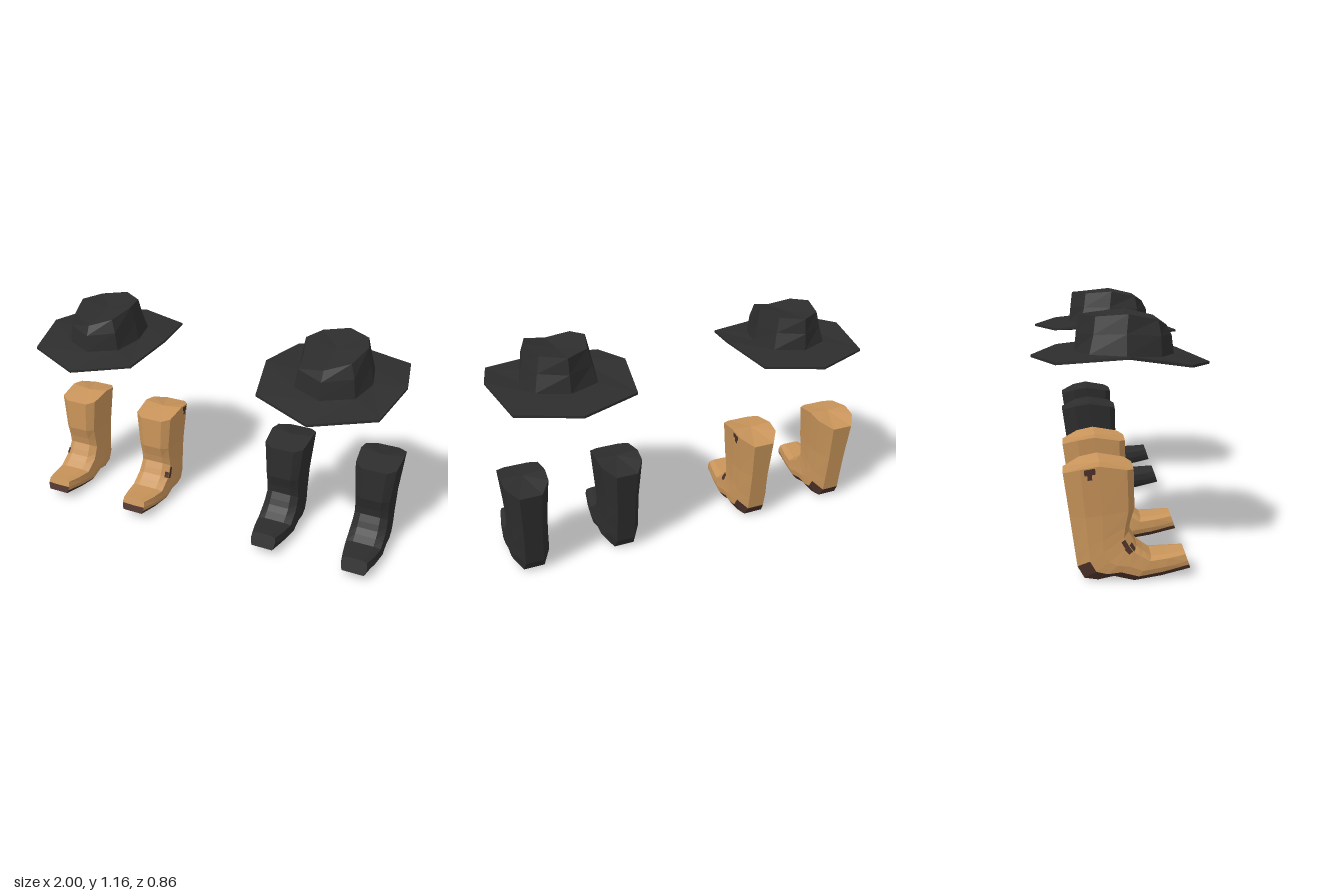
import * as THREE from 'three';

const V = (x, y, z) => new THREE.Vector3(x, y, z);
const material = (name, color) => {
  const m = new THREE.MeshStandardMaterial({ color, flatShading: true });
  m.name = name;
  return m;
};

// Collects flat-shaded faces, sorted into material slots
function faceBuilder() {
  const slots = [[], []];
  const tri = (a, b, c, s = 0) => {
    for (const p of [a, b, c]) slots[s].push(p.x, p.y, p.z);
  };
  const quad = (a, b, c, d, s = 0) => { tri(a, b, c, s); tri(a, c, d, s); };
  const build = () => {
    const g = new THREE.BufferGeometry();
    g.setAttribute('position', new THREE.Float32BufferAttribute(slots.flat(), 3));
    const n = slots.map((s) => s.length / 3);
    g.addGroup(0, n[0], 0);
    if (n[1]) g.addGroup(n[0], n[1], 1);
    g.computeVertexNormals();
    return g;
  };
  return { tri, quad, build };
}

// Skins a row of rings and closes both ends; slot(i, j) picks the material
function loft(f, rings, start, end, slot = () => 0) {
  const n = rings[0].length;
  for (let j = 0; j < n; j++) {
    const k = (j + 1) % n;
    f.tri(start, rings[0][k], rings[0][j], slot(-1, j));
    for (let i = 0; i + 1 < rings.length; i++) {
      f.quad(rings[i][j], rings[i][k], rings[i + 1][k], rings[i + 1][j], slot(i, j));
    }
    const last = rings[rings.length - 1];
    f.tri(end, last[j], last[k], slot(rings.length, j));
  }
}

// Boot sections: front z, y; back z, y; half width; width of the back or sole edge
const SECTIONS = [
  [0.265, 0.118, 0.29, 0.045, 0.068, 0.85],
  [0.19, 0.11, 0.16, 0.018, 0.088, 0.8],
  [0.115, 0.105, 0.04, 0, 0.1, 0.75],
  [0.08, 0.13, -0.05, 0.02, 0.1, 0.7],
  [0.05, 0.155, -0.12, 0.003, 0.1, 0.65],
  [0.035, 0.185, -0.18, 0.008, 0.098, 0.55],
  [0.015, 0.22, -0.21, 0.06, 0.096, 0.5],
  [0.022, 0.265, -0.22, 0.13, 0.095, 0.5],
  [0.04, 0.33, -0.242, 0.29, 0.097, 0.5],
  [0.035, 0.505, -0.27, 0.49, 0.114, 0.5],
];

function bootRings() {
  return SECTIONS.map(([zf, yf, zb, yb, w, q], i) => {
    const rise = i === SECTIONS.length - 1 ? 0.037 : 0;
    const half = [[0.55, 0], [0.93, 0.1], [1, 0.5], [0.95, 0.76], [q, 1]].map(([x, t]) =>
      V(x * w, yf + (yb - yf) * t + rise * Math.sin(Math.PI * t), zf + (zb - zf) * t));
    const other = half.slice().reverse().map((p) => V(-p.x, p.y, p.z));
    return [...half, ...other];
  });
}

// Worn patches on the outer side: section, column, column range, section range
const PATCHES = [
  [4, 0, 0.5, 1, 0, 1], [4, 1, 0, 0.22, 0.1, 1], [5, 1, 0, 0.18, 0, 0.8],
  [8, 2, 0.2, 0.8, 0.86, 0.98], [8, 2, 0.4, 0.65, 0.76, 0.86],
];

function addPatches(f, rings, outer) {
  for (const [i, j, u0, u1, v0, v1] of PATCHES) {
    const [a, b, c, d] = [rings[i][j], rings[i][j + 1], rings[i + 1][j + 1], rings[i + 1][j]];
    const normal = b.clone().sub(a).cross(d.clone().sub(a)).normalize().multiplyScalar(0.004);
    const at = (u, v) => {
      const p = a.clone().lerp(b, u).lerp(d.clone().lerp(c, u), v).add(normal);
      p.x *= outer;
      return p;
    };
    const q = [at(u0, v0), at(u1, v0), at(u1, v1), at(u0, v1)];
    if (outer < 0) q.reverse();
    f.quad(...q, 1);
  }
}

function makeBoot(name, upper, sole, outer) {
  const f = faceBuilder();
  const rings = bootRings();
  const slot = (i, j) => {
    if (!sole) return 0;
    if (i === -1) return j >= 2 && j <= 6 ? 1 : 0;
    return i < 6 && j >= 3 && j <= 5 ? 1 : 0;
  };
  loft(f, rings, V(0, 0.08, 0.278), V(0, 0.525, -0.11), slot);
  if (sole) addPatches(f, rings, outer);
  const mesh = new THREE.Mesh(f.build(), sole ? [upper, sole] : [upper]);
  mesh.name = name;
  return mesh;
}

// Hat rings run front, front corner, side, rear corner, rear: x, y, z
const BRIM = [[0, 0.917, 0.428], [0.3, 0.948, 0.3], [0.358, 0.996, 0.02], [0.3, 0.965, -0.31], [0, 0.957, -0.428]];
const BASE = [[0, 0.956, 0.255], [0.15, 0.962, 0.18], [0.192, 0.972, 0.015], [0.155, 0.976, -0.155], [0, 0.974, -0.222]];
const MID = [[0, 1.045, 0.243], [0.138, 1.06, 0.177], [0.172, 1.07, 0.015], [0.135, 1.065, -0.135], [0, 1.065, -0.213]];
const TOP = [[0, 1.095, 0.217], [0.117, 1.13, 0.165], [0.155, 1.16, 0.025], [0.117, 1.147, -0.125], [0, 1.148, -0.203]];

const hatRing = (half, dy = 0, s = 1) => {
  const right = half.map(([x, y, z]) => V(x * s, y + dy, z * s));
  const left = right.slice(1, 4).reverse().map((p) => V(-p.x, p.y, p.z));
  return [...right, ...left];
};

function makeHat(name, mat, hollow) {
  const f = faceBuilder();
  const rings = [hatRing(BRIM, -0.012), hatRing(BRIM), hatRing(BASE), hatRing(MID), hatRing(TOP)];
  let start = V(0, 0.925, 0);
  if (hollow) {
    // Inside of the crown
    rings.unshift(hatRing(TOP, -0.02, 0.93), hatRing(MID, 0, 0.95), hatRing(BASE, -0.014, 0.96));
    start = V(0, 1.1, 0);
  }
  loft(f, rings, start, V(0, 1.122, 0.01));
  const mesh = new THREE.Mesh(f.build(), [mat]);
  mesh.name = name;
  return mesh;
}

export function createModel() {
  const black = material('black leather', 0x2d2d2d);
  const tan = material('tan leather', 0xc8945a);
  const brown = material('dark brown sole', 0x4c3229);
  const model = new THREE.Group();
  model.name = 'hatsAndBoots';

  // Two sets: worn tan boots with a hollow hat, black boots with a closed hat
  const sets = [
    { name: 'tanSet', x: -0.64, upper: tan, sole: brown, scale: 0.955 },
    { name: 'blackSet', x: 0.635, upper: black, sole: null, scale: 1 },
  ];
  for (const { name, x, upper, sole, scale } of sets) {
    const set = new THREE.Group();
    set.name = name;
    set.position.x = x;
    for (const side of [-1, 1]) {
      const boot = makeBoot(side > 0 ? 'leftBoot' : 'rightBoot', upper, sole, side);
      boot.position.x = side * 0.247;
      set.add(boot);
    }
    const hat = makeHat('hat', black, !!sole);
    hat.scale.setScalar(scale);
    hat.position.y = 1.04 * (1 - scale);
    set.add(hat);
    model.add(set);
  }
  return model;
}
